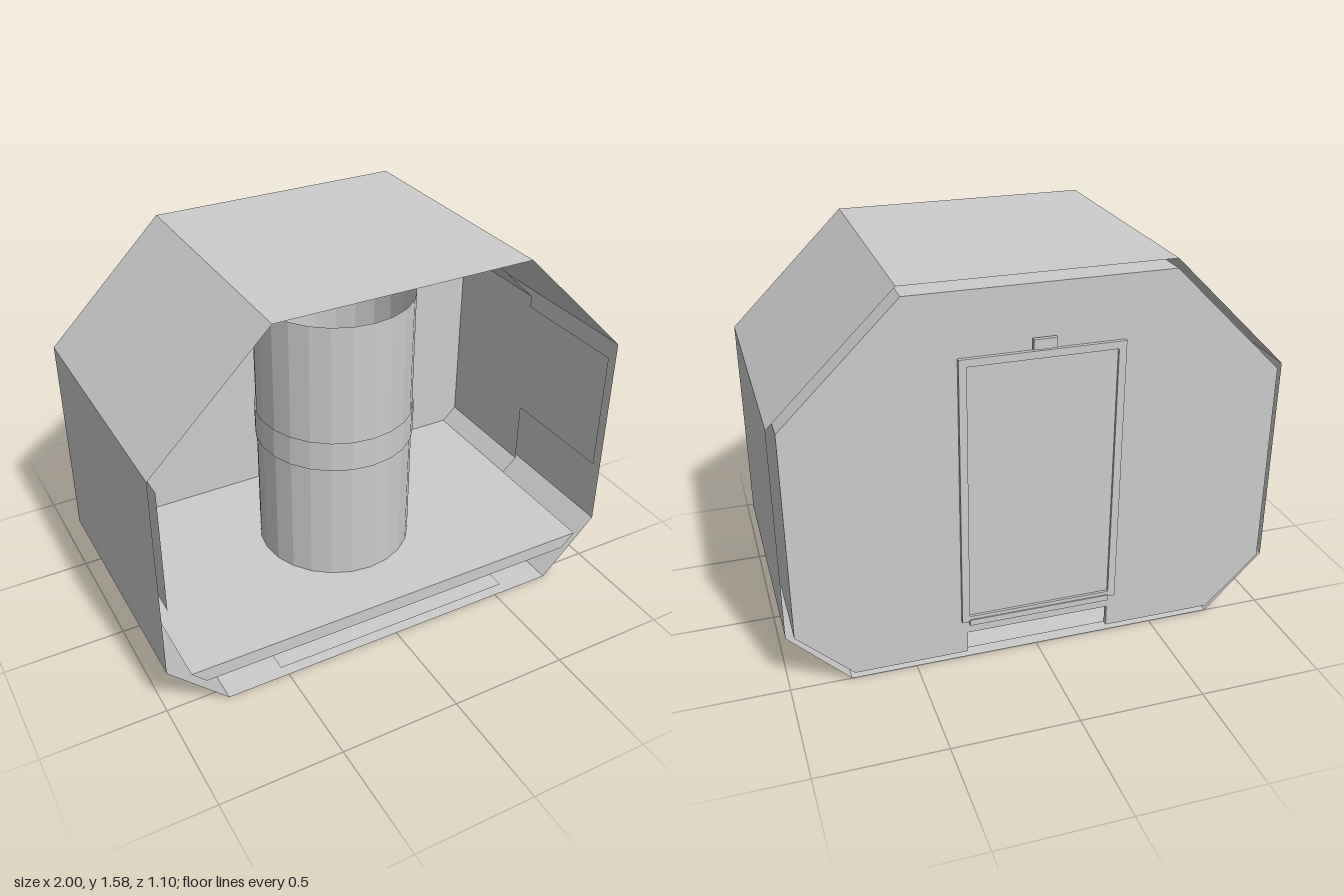
import * as THREE from 'three';

// Flat-sided sleeve: quads between profile points from z0 to z1
function sleeve(points, z0, z1, closed = true) {
  const pos = [];
  const n = points.length;
  for (let i = 0; i < (closed ? n : n - 1); i++) {
    const [ax, ay] = points[i];
    const [bx, by] = points[(i + 1) % n];
    pos.push(ax, ay, z0, bx, by, z0, bx, by, z1, ax, ay, z0, bx, by, z1, ax, ay, z1);
  }
  const geo = new THREE.BufferGeometry();
  geo.setAttribute('position', new THREE.Float32BufferAttribute(pos, 3));
  geo.computeVertexNormals();
  return geo;
}

// Plate cut from an outline, from zBack forward by depth
function plate(points, zBack, depth, hole) {
  const toV = (list) => list.map(([x, y]) => new THREE.Vector2(x, y));
  const shape = new THREE.Shape(toV(points));
  if (hole) shape.holes.push(new THREE.Path(toV(hole)));
  return new THREE.ExtrudeGeometry(shape, { depth, bevelEnabled: false }).translate(0, 0, zBack);
}

const rect = (w, y0, y1) => [[-w, y0], [w, y0], [w, y1], [-w, y1]];

export function createModel() {
  const model = new THREE.Group();
  const grey = new THREE.MeshStandardMaterial({ color: 0xcccccc, flatShading: true, side: THREE.DoubleSide });
  grey.name = 'light grey';

  const add = (name, geo) => {
    const mesh = new THREE.Mesh(geo, grey);
    mesh.name = name;
    model.add(mesh);
    return mesh;
  };

  // Outer eight-sided shell, open at both ends
  add('outerShell', sleeve([
    [-0.76, 0], [0.76, 0], [1, 0.24], [1, 1.11],
    [0.525, 1.58], [-0.525, 1.58], [-1, 1.11], [-1, 0.24],
  ], -0.5, 0.55));

  // Inner lining of the rear half, with narrower panels running to the front
  const lining = [
    [-0.75, 0.04], [0.75, 0.04], [0.97, 0.25], [0.97, 1.1],
    [0.515, 1.55], [-0.515, 1.55], [-0.97, 1.1], [-0.97, 0.25],
  ];
  add('rearLining', sleeve(lining, -0.5, 0.02));
  for (const s of [-1, 1]) {
    add('sideLiningPanel', sleeve([[s * 0.97, 0.53], [s * 0.97, 1.05]], 0.02, 0.54, false));
  }
  add('bottomLiningPanel', sleeve([[-0.53, 0.04], [0.53, 0.04]], 0.02, 0.54, false));

  // Back wall with a notch under the door
  add('backWall', plate([
    [-0.75, 0.04], [-0.295, 0.04], [-0.295, 0.13], [0.295, 0.13], [0.295, 0.04],
    ...lining.slice(1),
  ], -0.522, 0.022));

  // Floor slab with sloping sides
  add('floor', plate([[-0.845, 0.13], [0.845, 0.13], [0.905, 0.19], [-0.905, 0.19]], -0.5, 1.05));

  // Central open column and its band
  add('column', new THREE.CylinderGeometry(0.325, 0.325, 1.16, 24, 1, true).translate(0, 0.77, 0));
  add('columnBand', new THREE.CylinderGeometry(0.331, 0.331, 0.13, 24, 1, true).translate(0, 0.78, 0));

  // Door at the back: frame, panel, sill and lamp
  add('doorFrame', plate(rect(0.32, 0.19, 1.3), -0.538, 0.016, rect(0.29, 0.215, 1.27)));
  add('doorPanel', plate(rect(0.29, 0.215, 1.27), -0.527, 0.005));
  add('doorSill', plate(rect(0.29, 0.175, 0.2), -0.543, 0.021));
  add('doorLamp', plate(rect(0.045, 1.31, 1.35), -0.552, 0.018));

  return model;
}
